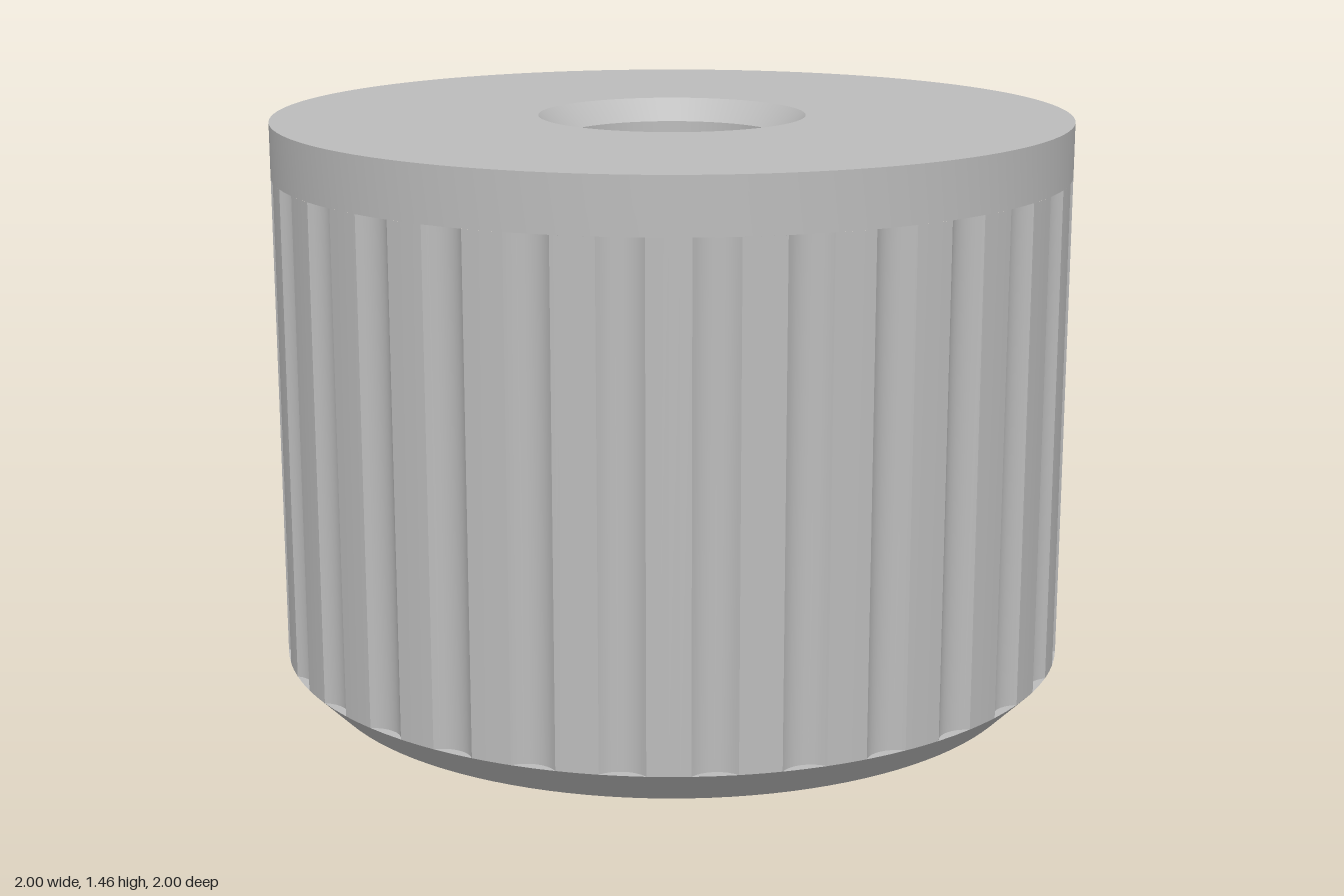
import * as THREE from 'three';
import { toCreasedNormals } from 'three/addons/utils/BufferGeometryUtils.js';

const HEIGHT = 1.455, GRIP_BOTTOM = 0.09, GRIP_TOP = 1.32;
const BORE_R = 0.28, BORE_TOP = 1.4, BORE_FLOOR = 0.5, FLAT_Z = 0.13;
const SLOT = { half: 0.04, from: 0.28, to: 0.9, depth: 0.05 };

export function createModel() {
  const group = new THREE.Group();
  const grey = new THREE.MeshStandardMaterial({ color: 0xbcbcbc });
  grey.name = 'plain grey';

  const add = (name, geometry) => {
    const mesh = new THREE.Mesh(geometry, grey);
    mesh.name = name;
    group.add(mesh);
    return mesh;
  };
  const lathe = (points) => toCreasedNormals(
    new THREE.LatheGeometry(points.map(([r, y]) => new THREE.Vector2(r, y)), 120), 0.4);
  const disc = (radius) => {
    const shape = new THREE.Shape();
    shape.absarc(0, 0, radius, 0, Math.PI * 2);
    return shape;
  };
  // Upright extrusion: shape y becomes -z
  const extrudeUp = (shape, y, depth) => toCreasedNormals(
    new THREE.ExtrudeGeometry(shape, { depth, bevelEnabled: false, curveSegments: 60 })
      .rotateX(-Math.PI / 2).translate(0, y, 0), 0.4);

  // Top band, top face and lead-in chamfer of the bore
  add('topBand', lathe([[0.96, GRIP_TOP], [1, GRIP_TOP], [1, HEIGHT], [0.335, HEIGHT], [BORE_R, BORE_TOP]]));

  // Sloping edge around the base
  add('baseChamfer', lathe([[0.91, 0], [1, GRIP_BOTTOM], [0.96, GRIP_BOTTOM]]));

  // Fluted grip wall
  add('flutedGrip', gripGeometry());

  // D-shaped shaft bore, with a ledge over its flat side
  const hole = new THREE.Path();
  const start = -Math.asin(FLAT_Z / BORE_R);
  hole.absarc(0, 0, BORE_R, start, Math.PI - start, false);
  hole.closePath();
  const bore = disc(0.3);
  bore.holes.push(hole);
  add('shaftBore', extrudeUp(bore, BORE_FLOOR, BORE_TOP - BORE_FLOOR));
  const floor = add('boreFloor', new THREE.CircleGeometry(0.29, 48).rotateX(-Math.PI / 2));
  floor.position.y = BORE_FLOOR;

  // Base plate with the pointer slot cut into it
  const base = disc(0.91);
  const slot = new THREE.Path();
  slot.moveTo(-SLOT.half, -SLOT.to);
  slot.lineTo(-SLOT.half, -SLOT.from);
  slot.lineTo(SLOT.half, -SLOT.from);
  slot.lineTo(SLOT.half, -SLOT.to);
  slot.closePath();
  base.holes.push(slot);
  add('basePlate', extrudeUp(base, 0, SLOT.depth));
  const slotFloor = add('pointerSlotFloor',
    new THREE.PlaneGeometry(SLOT.half * 2, SLOT.to - SLOT.from).rotateX(Math.PI / 2));
  slotFloor.position.set(0, SLOT.depth, (SLOT.from + SLOT.to) / 2);

  return group;
}

// Vertical wall with 30 round flutes between plain lands
function gripGeometry() {
  const count = 30, step = (Math.PI * 2) / count;
  const fluteR = 0.0738, fluteCentre = 1.0488, halfArc = 0.8205;
  const halfLand = step / 2 - Math.asin(0.054);
  const outline = [];
  for (let i = 0; i < count; i++) {
    const a = (i + 0.5) * step;
    for (let j = 0; j <= 8; j++) {
      const t = halfArc * (j / 4 - 1);
      const side = fluteR * Math.sin(t), out = fluteCentre - fluteR * Math.cos(t);
      outline.push([out * Math.sin(a) + side * Math.cos(a), out * Math.cos(a) - side * Math.sin(a)]);
    }
    for (let j = 1; j < 4; j++) {
      const b = a + step / 2 + halfLand * (j / 2 - 1);
      outline.push([Math.sin(b), Math.cos(b)]);
    }
  }
  const positions = [], index = [], n = outline.length;
  outline.forEach(([x, z], i) => {
    positions.push(x, GRIP_BOTTOM, z, x, GRIP_TOP, z);
    const p = 2 * i, q = 2 * ((i + 1) % n);
    index.push(p, q, q + 1, p, q + 1, p + 1);
  });
  const geometry = new THREE.BufferGeometry();
  geometry.setAttribute('position', new THREE.Float32BufferAttribute(positions, 3));
  geometry.setIndex(index);
  return toCreasedNormals(geometry, 0.4);
}
